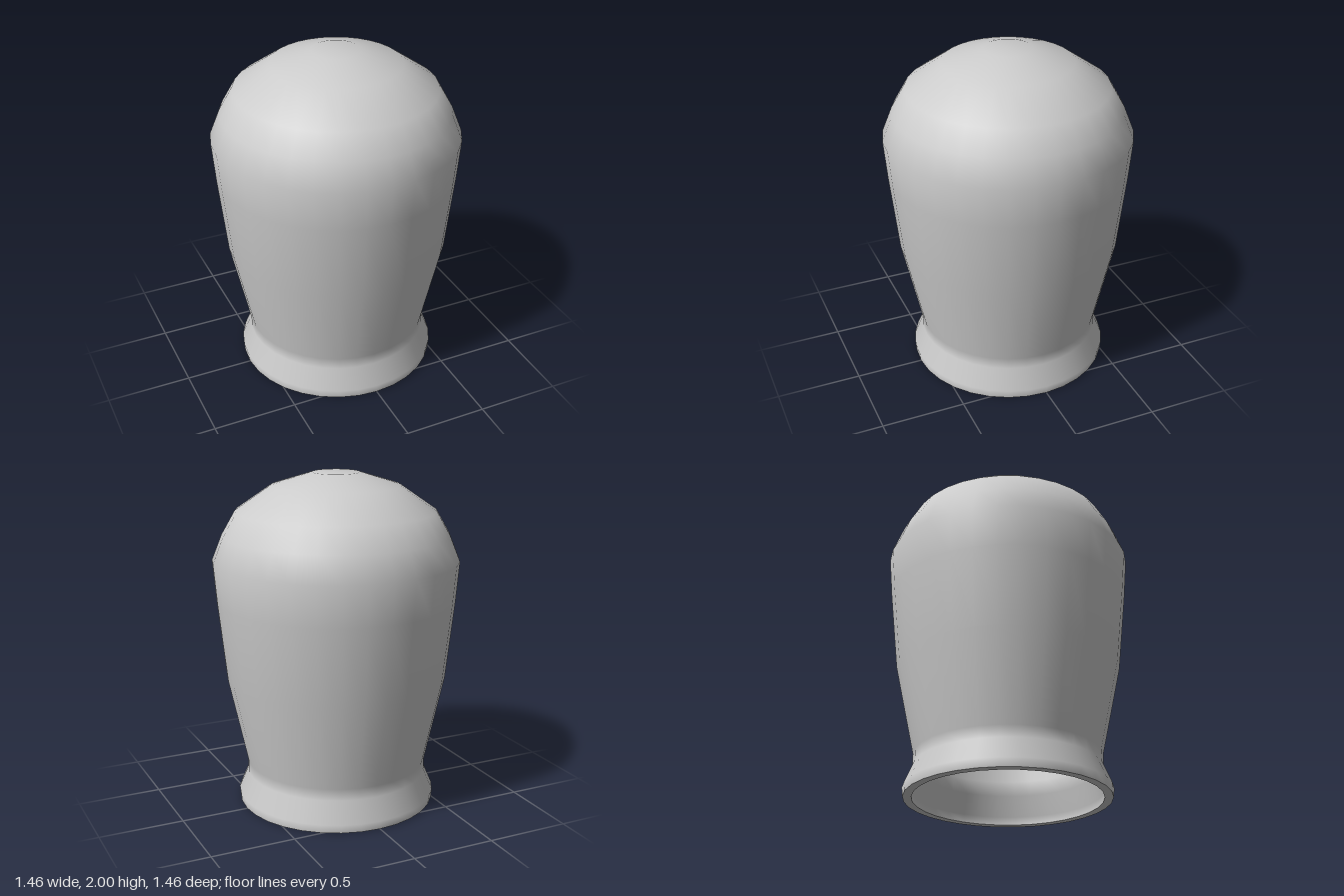
import * as THREE from 'three';

const SIDES = 32;
const material = new THREE.MeshStandardMaterial({ color: 0xcccccc, side: THREE.DoubleSide });

// Revolves [radius, height] pairs about the y axis
function revolve(name, profile) {
  const points = profile.map(([r, y]) => new THREE.Vector2(r, y));
  const mesh = new THREE.Mesh(new THREE.LatheGeometry(points, SIDES, Math.PI / 2), material);
  mesh.name = name;
  return mesh;
}

export function createModel() {
  const group = new THREE.Group();
  group.name = 'domedJar';

  // Outer shell: flared foot, narrow neck, swelling body and rounded dome
  group.add(revolve('outerShell', [
    [0.595, 0], [0.6, 0.05], [0.545, 0.18], [0.545, 0.25], [0.66, 0.78],
    [0.71, 1.25], [0.73, 1.49], [0.67, 1.64], [0.59, 1.78],
    [0.38, 1.925], [0.14, 2], [0, 2],
  ]));

  // Flat ring under the open mouth
  group.add(revolve('mouthRim', [[0.545, 0], [0.595, 0]]));

  // Hollow inside, following the shell
  group.add(revolve('innerWall', [
    [0, 1.96], [0.13, 1.96], [0.36, 1.89], [0.56, 1.75], [0.64, 1.62],
    [0.69, 1.48], [0.67, 1.25], [0.62, 0.78], [0.51, 0.26], [0.51, 0.17],
    [0.55, 0.05], [0.545, 0],
  ]));

  return group;
}
